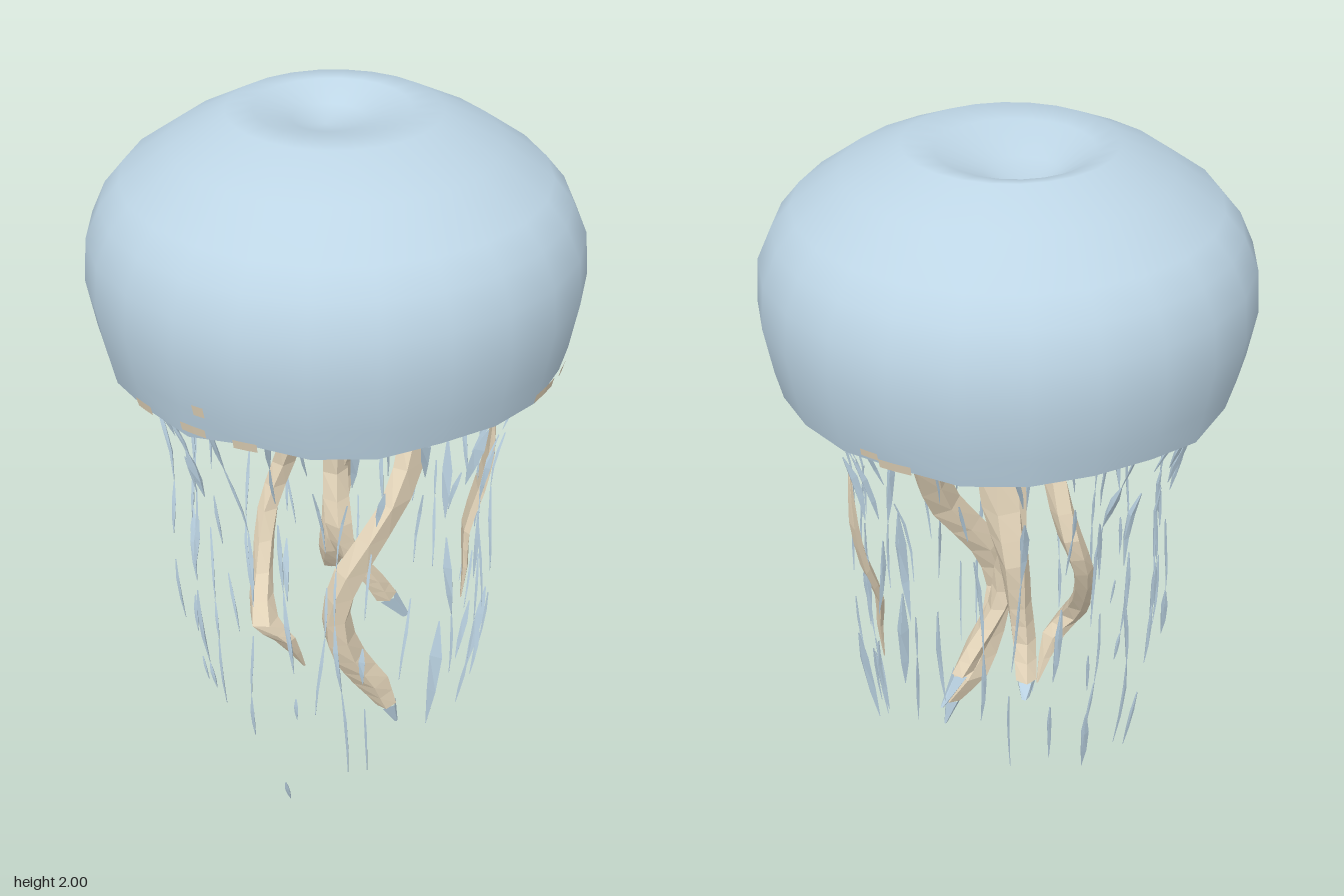
import * as THREE from 'three';
import { mergeVertices, mergeGeometries } from 'three/addons/utils/BufferGeometryUtils.js';

const bellBlue = new THREE.MeshStandardMaterial({ color: 0xbdd5e5, side: THREE.DoubleSide });
bellBlue.name = 'bellBlue';
const armTan = new THREE.MeshStandardMaterial({ color: 0xe4d5ba, flatShading: true, side: THREE.DoubleSide });
armTan.name = 'armTan';
const strandBlue = new THREE.MeshStandardMaterial({ color: 0xbdd5e5, flatShading: true });
strandBlue.name = 'strandBlue';

// Small seeded generator
let seed = 7;
const rand = () => (seed = (seed * 16807) % 2147483647) / 2147483647;
const jitter = a => (rand() - 0.5) * 2 * a;

const lathePoints = profile => profile.map(p => new THREE.Vector2(...p));

// Lathe whose points are moved by a rule, welded for smooth normals
function bellSurface(profile, segments, rule) {
  let geo = new THREE.LatheGeometry(lathePoints(profile), segments);
  geo.deleteAttribute('normal');
  geo.deleteAttribute('uv');
  const pos = geo.attributes.position;
  const v = new THREE.Vector3();
  const n = profile.length;
  for (let i = 0; i < pos.count; i++) {
    v.fromBufferAttribute(pos, i);
    rule(v, Math.floor(i / n) % segments, i % n);
    pos.setXYZ(i, v.x, v.y, v.z);
  }
  geo = mergeVertices(geo, 1e-4);
  geo.computeVertexNormals();
  return geo;
}

// Loft of elliptical rings; each ring is [x, y, z, radiusX, radiusZ], top to bottom
function loft(rings, sides, twist = 0.25) {
  const verts = [], index = [];
  rings.forEach(([x, y, z, rx, rz], i) => {
    for (let j = 0; j < sides; j++) {
      const t = (j / sides) * Math.PI * 2 + i * twist;
      verts.push(x + rx * Math.cos(t), y, z + rz * Math.sin(t));
      if (i === rings.length - 1) continue;
      const a = i * sides + j, b = i * sides + (j + 1) % sides;
      index.push(a, b, a + sides, b, b + sides, a + sides);
    }
  });
  const geo = new THREE.BufferGeometry();
  geo.setAttribute('position', new THREE.Float32BufferAttribute(verts, 3));
  geo.setIndex(index);
  geo.computeVertexNormals();
  return geo;
}

// Doubles the rings along a smooth curve
function smoothRings(rings) {
  const centre = new THREE.CatmullRomCurve3(rings.map(r => new THREE.Vector3(r[0], r[1], r[2])));
  const steps = (rings.length - 1) * 2;
  return Array.from({ length: steps + 1 }, (_, i) => {
    const p = centre.getPoint(i / steps);
    const a = rings[Math.floor(i / 2)], b = rings[Math.ceil(i / 2)];
    return [p.x, p.y, p.z, (a[3] + b[3]) / 2, (a[4] + b[4]) / 2];
  });
}

export function createModel() {
  seed = 7;
  const model = new THREE.Group();
  model.name = 'jellyfish';
  const add = (geo, mat, name) => {
    const mesh = new THREE.Mesh(geo, mat);
    mesh.name = name;
    model.add(mesh);
    return mesh;
  };

  // Bell: smooth dome with an off-centre dimple and a ragged rim
  const SEG = 24;
  const ragged = Array.from({ length: SEG }, () => jitter(0.014));
  const outer = [[0.583, 1.405], [0.6, 1.48], [0.619, 1.6], [0.608, 1.71], [0.57, 1.79],
    [0.52, 1.848], [0.4, 1.93], [0.26, 1.995], [0.19, 1.988], [0.09, 1.945], [0, 1.915]];
  add(bellSurface(outer, SEG, (v, s, k) => {
    if (k === 0) v.y += ragged[s];
    const pull = Math.max(0, 1 - Math.hypot(v.x, v.z) / 0.3);
    v.x -= 0.09 * pull;
    v.z -= 0.08 * pull;
  }), bellBlue, 'bell');

  // Underside: inner rim band, then a pleated ceiling
  add(bellSurface([[0.54, 1.51], [0.565, 1.46], [0.583, 1.405]], SEG, (v, s, k) => {
    if (k === 2) v.y += ragged[s];
  }), bellBlue, 'innerRim');
  add(bellSurface([[0, 1.63], [0.12, 1.62], [0.32, 1.575], [0.54, 1.51]], SEG * 2, (v, s, k) => {
    if (k > 0 && k < 3) v.y += s % 2 ? 0.02 : -0.02;
  }), bellBlue, 'ceiling');

  // Tan flecks on the rim: [angle, width, bottom, top]
  const flecks = [[0.04, 0.12, 1.41, 1.435], [-0.24, 0.1, 1.405, 1.43], [0.27, 0.1, 1.405, 1.43], [0.09, 0.05, 1.475, 1.505],
    [1.62, 0.16, 1.41, 1.435], [1.83, 0.08, 1.405, 1.43], [3.14, 0.14, 1.41, 1.435], [3.03, 0.08, 1.43, 1.45]];
  const radiusOf = y => 0.588 + (y - 1.405) * 0.23;
  flecks.forEach(([angle, width, low, high], i) => add(new THREE.LatheGeometry(
    lathePoints([[radiusOf(low), low], [radiusOf(high), high]]), 2, angle - width / 2, width), armTan, 'rimFleck' + (i + 1)));

  // Oral arms: wavy tapering ribbons
  const arms = {
    armLeft: [[0.12, 1.62, 0, 0.035, 0.05], [0.155, 1.4, -0.06, 0.04, 0.075], [0.165, 1.28, -0.11, 0.04, 0.08],
      [0.175, 1.12, -0.13, 0.033, 0.07], [0.175, 0.93, -0.04, 0.035, 0.065], [0.115, 0.74, 0.08, 0.045, 0.06],
      [0.09, 0.58, 0.125, 0.037, 0.05], [0.1, 0.42, 0.08, 0.045, 0.055], [0.13, 0.3, 0.015, 0.055, 0.055],
      [0.175, 0.2, -0.015, 0.027, 0.035]],
    armMiddle: [[0, 1.62, 0, 0.055, 0.045], [0.005, 1.4, -0.03, 0.065, 0.055], [0, 1.22, -0.07, 0.065, 0.05],
      [-0.03, 1.02, -0.1, 0.055, 0.05], [-0.075, 0.87, -0.12, 0.04, 0.05], [-0.085, 0.72, -0.11, 0.035, 0.04],
      [-0.1, 0.6, -0.11, 0.035, 0.035], [-0.13, 0.5, -0.155, 0.03, 0.03]],
    armRight: [[-0.11, 1.62, 0.08, 0.03, 0.03], [-0.14, 1.42, 0.1, 0.045, 0.038], [-0.105, 1.25, 0.06, 0.035, 0.035],
      [-0.14, 1.08, 0, 0.033, 0.033], [-0.195, 0.92, -0.02, 0.033, 0.037], [-0.215, 0.78, 0.03, 0.028, 0.037],
      [-0.18, 0.62, 0.11, 0.028, 0.035], [-0.13, 0.5, 0.175, 0.04, 0.045], [-0.085, 0.43, 0.14, 0.035, 0.03],
      [-0.065, 0.28, 0.07, 0.003, 0.004]],
    armBack: [[0.02, 1.62, -0.08, 0.03, 0.03], [-0.02, 1.38, -0.06, 0.035, 0.045], [-0.04, 1.15, -0.06, 0.035, 0.045],
      [-0.055, 0.92, -0.07, 0.035, 0.04], [-0.02, 0.77, -0.04, 0.04, 0.04], [0, 0.65, -0.06, 0.033, 0.035],
      [0.04, 0.54, -0.12, 0.033, 0.037], [0.065, 0.46, -0.16, 0.03, 0.04]],
  };
  for (const [name, rings] of Object.entries(arms)) add(loft(smoothRings(rings), 5, 0.12), armTan, name);

  // Loose blade-like arm, turned towards the front left
  const blade = add(loft(smoothRings([[0.026, 1.15, 0.015, 0.003, 0.004], [0.028, 1, -0.01, 0.012, 0.045],
    [0.008, 0.87, -0.026, 0.013, 0.055], [-0.029, 0.74, -0.004, 0.012, 0.045], [-0.03, 0.62, 0.021, 0.009, 0.022],
    [-0.037, 0.5, 0.021, 0.002, 0.004]]), 5, 0), armTan, 'looseArm');
  blade.position.set(0.29, 0, -0.28);
  blade.rotation.y = 0.69;

  // Blue arm tips
  const tips = {
    armLeftTip: [[0.175, 0.2, -0.015, 0.027, 0.035], [0.19, 0.11, -0.045, 0.004, 0.006]],
    armBackTip: [[0.065, 0.46, -0.16, 0.03, 0.04], [0.1, 0.36, -0.22, 0.006, 0.014]],
    armMiddleTip: [[-0.13, 0.5, -0.155, 0.03, 0.03], [-0.145, 0.46, -0.19, 0.01, 0.015]],
  };
  for (const [name, rings] of Object.entries(tips)) add(loft(rings, 5), strandBlue, name);

  // Tentacles: hanging threads, each a broken chain of slender slivers
  const radiusAt = new THREE.CatmullRomCurve3([[0.54, 1.43], [0.475, 1.25], [0.425, 1.05],
    [0.435, 0.75], [0.425, 0.5], [0.37, 0.15]].map(p => new THREE.Vector3(p[0], p[1], 0)));
  const sliver = (pointAt, t0, t1, w) => loft([0, 0.35, 0.7, 1].map((f, i) => {
    const p = pointAt(t0 + (t1 - t0) * f);
    const r = [0.002, w, w * 0.8, 0.001][i];
    return [p.x, p.y, p.z, r, r];
  }), 3);
  const COUNT = 28;
  for (let i = 0; i < COUNT; i++) {
    const angle = ((i + jitter(0.35)) / COUNT) * Math.PI * 2;
    const scale = 0.98 + jitter(0.08), phase = rand() * 6, end = 0.8 + rand() * 0.2;
    const pointAt = t => {
      const p = radiusAt.getPoint(Math.min(t, 1));
      const a = angle + 0.05 * Math.sin(t * 7 + phase);
      const r = p.x * (1 + (scale - 1) * Math.min(1, t * 3));
      return new THREE.Vector3(r * Math.sin(a), p.y, r * Math.cos(a));
    };
    const parts = [];
    for (let t = 0; t < end - 0.05;) {
      const len = 0.1 + rand() * 0.12;
      parts.push(sliver(pointAt, t, Math.min(t + len, end), 0.004 + rand() * rand() * 0.012));
      t += len + (rand() < 0.35 ? 0 : 0.07);
    }
    // Root running under the bell towards the centre
    const root = t => new THREE.Vector3(Math.sin(angle), 0, Math.cos(angle))
      .multiplyScalar(0.14 + 0.38 * t).setY(1.58 - 0.13 * t * t);
    parts.push(sliver(root, 0, 1, 0.009));
    add(mergeGeometries(parts), strandBlue, 'tentacle' + (i + 1));
  }

  // A few broader tentacle pieces: [angle, start, end, width] along the hanging curve
  [[1.3, 0.62, 0.9, 0.02], [1.45, 0.12, 0.32, 0.016], [2.9, 0.5, 0.72, 0.018], [2.2, 0.75, 0.95, 0.014],
    [-1.4, 0.15, 0.35, 0.014]].forEach(([angle, t0, t1, w], i) => {
    const pointAt = t => {
      const p = radiusAt.getPoint(t);
      return new THREE.Vector3(p.x * Math.sin(angle), p.y, p.x * Math.cos(angle));
    };
    add(sliver(pointAt, t0, t1, w), strandBlue, 'broadTentacle' + (i + 1));
  });

  // Longest trailing thread
  const trail = t => new THREE.Vector3(0.075 - 0.015 * t, 0.11 - 0.11 * t, 0.35 - 0.04 * t);
  add(sliver(trail, 0, 1, 0.008), strandBlue, 'trailingThread');

  return model;
}
